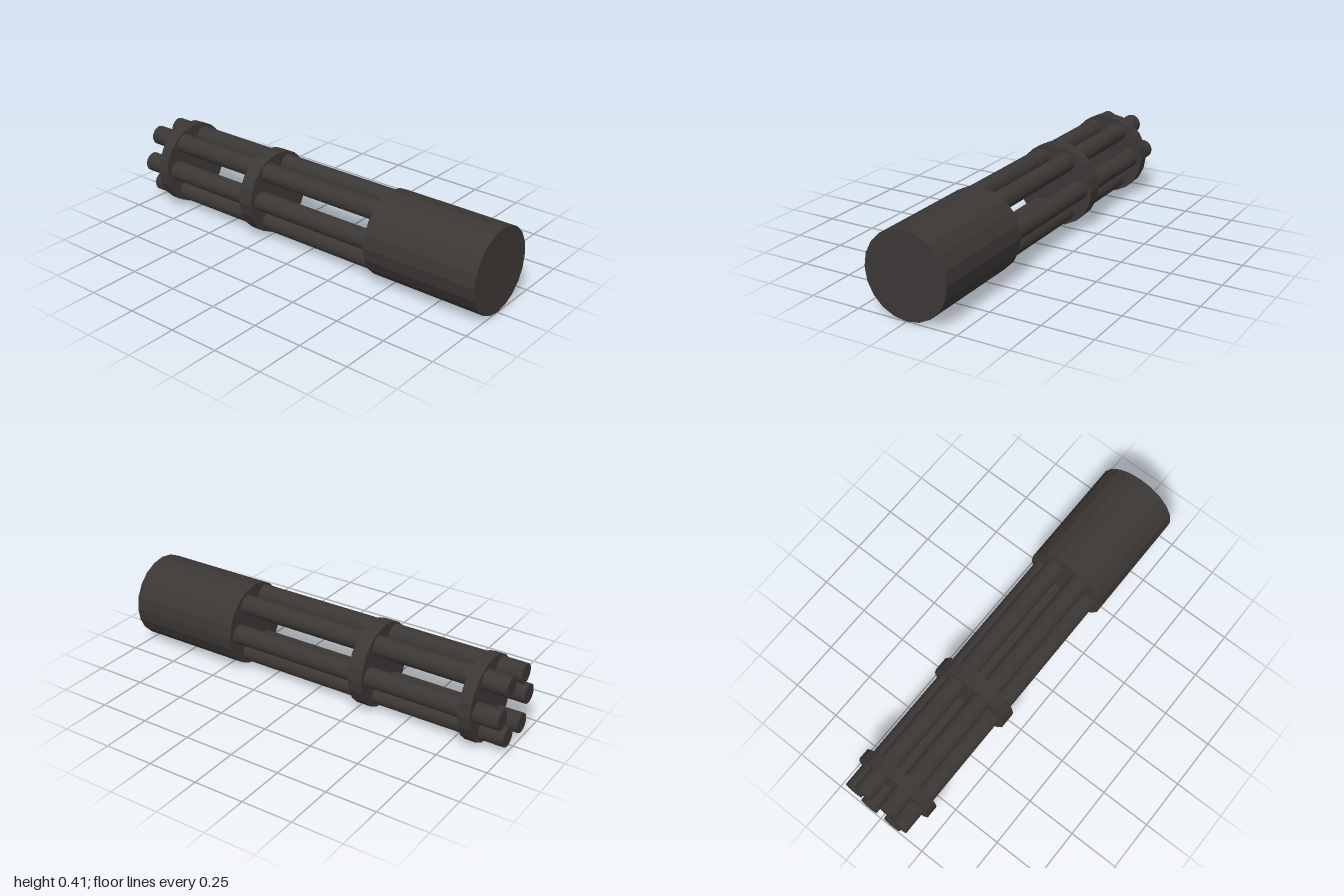
import * as THREE from 'three';

const RADIUS = 0.207;
const material = new THREE.MeshStandardMaterial({ color: 0x3b3735, flatShading: true });

// Cylinder lying along z between two depths
function rod(name, radius, zFront, zBack, x = 0, y = RADIUS) {
  const geometry = new THREE.CylinderGeometry(radius, radius, zFront - zBack, 20);
  geometry.rotateX(Math.PI / 2);
  const mesh = new THREE.Mesh(geometry, material);
  mesh.name = name;
  mesh.position.set(x, y, (zFront + zBack) / 2);
  return mesh;
}

export function createModel() {
  const model = new THREE.Group();
  model.name = 'rotaryBarrelAssembly';

  // Solid housing and the two clamping discs
  model.add(rod('housing', RADIUS, 1, 0.415));
  model.add(rod('middleDisc', RADIUS, -0.257, -0.33));
  model.add(rod('endDisc', RADIUS, -0.82, -0.878));

  // Ring of six barrels, two per row
  const barrels = new THREE.Group();
  barrels.name = 'barrels';
  const rows = [
    [0.336, -0.076, 0.063],
    [0.206, -0.13, 0.136],
    [0.08, -0.076, 0.063],
  ];
  for (const [y, ...xs] of rows) {
    for (const x of xs) barrels.add(rod('barrel', 0.0475, 0.43, -1, x, y));
  }
  model.add(barrels);
  return model;
}
